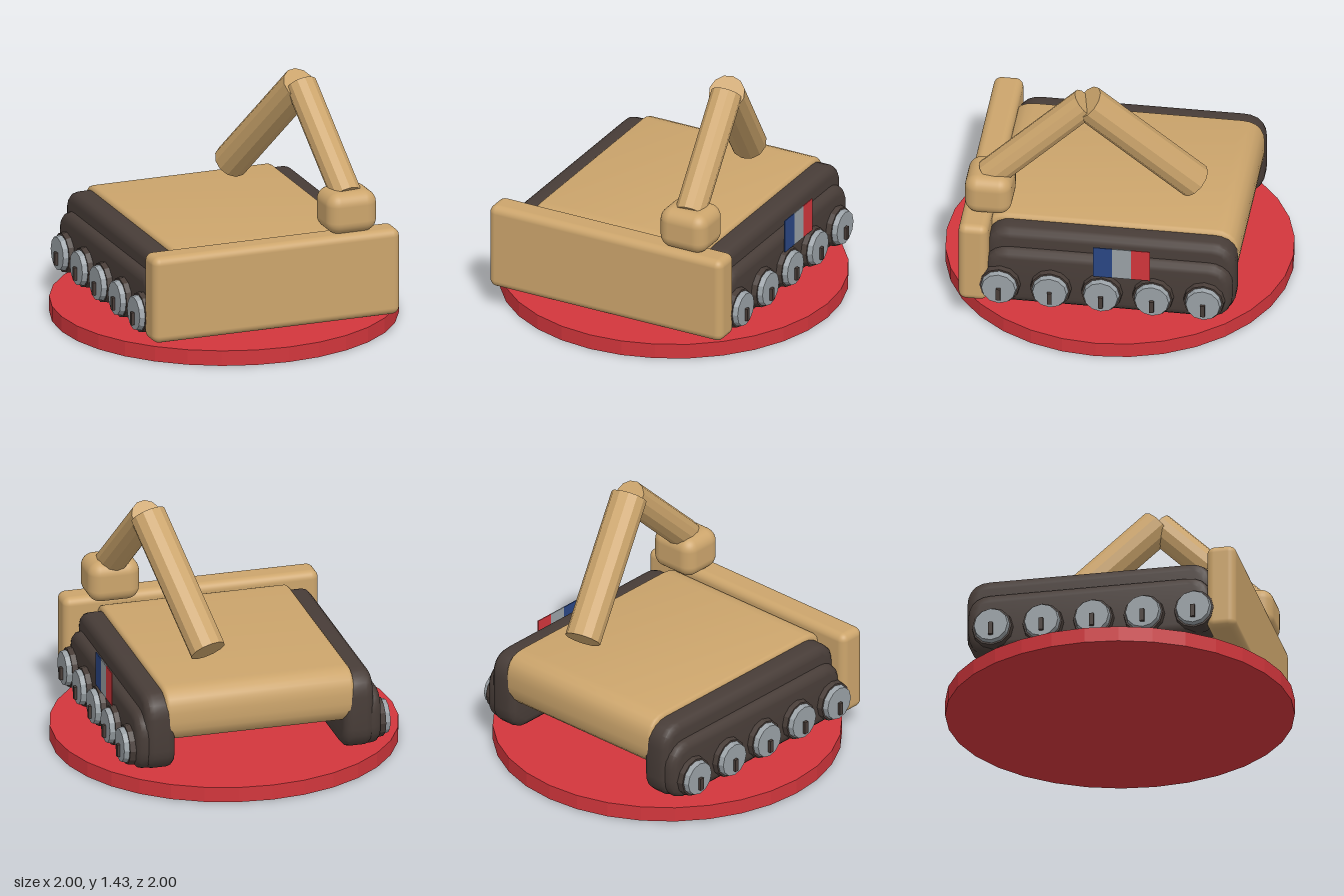
import * as THREE from 'three';
import { toCreasedNormals } from 'three/addons/utils/BufferGeometryUtils.js';
import { RoundedBoxGeometry } from 'three/addons/geometries/RoundedBoxGeometry.js';

const material = (name, color) => {
  const m = new THREE.MeshStandardMaterial({ color });
  m.name = name;
  return m;
};

export function createModel() {
  const model = new THREE.Group();
  model.name = 'trackedExcavator';

  const tan = material('tan', 0xcca56c);
  const red = material('red', 0xd2363c);
  const dark = material('darkBrown', 0x483d38);
  const grey = material('grey', 0x9aa1a6);
  const blue = material('blue', 0x2a4684);

  const add = (parent, name, geometry, mat, x = 0, y = 0, z = 0) => {
    const mesh = new THREE.Mesh(geometry, mat);
    mesh.name = name;
    mesh.position.set(x, y, z);
    parent.add(mesh);
    return mesh;
  };

  // Side profile with rounded corners, extruded across x with soft edges
  const slab = (x0, x1, y0, y1, z0, z1, radius, bevel) => {
    const [l, r, b, t] = [-z1 + bevel, -z0 - bevel, y0 + bevel, y1 - bevel];
    const k = radius;
    const s = new THREE.Shape();
    s.moveTo(l + k, b);
    s.lineTo(r - k, b);
    s.quadraticCurveTo(r, b, r, b + k);
    s.lineTo(r, t - k);
    s.quadraticCurveTo(r, t, r - k, t);
    s.lineTo(l + k, t);
    s.quadraticCurveTo(l, t, l, t - k);
    s.lineTo(l, b + k);
    s.quadraticCurveTo(l, b, l + k, b);
    const g = new THREE.ExtrudeGeometry(s, {
      depth: x1 - x0 - 2 * bevel, curveSegments: 5,
      bevelEnabled: true, bevelSize: bevel, bevelThickness: bevel, bevelSegments: 3,
    });
    g.rotateY(Math.PI / 2);
    g.translate(x0 + bevel, 0, 0);
    return toCreasedNormals(g, 0.6);
  };

  // Display base
  const baseGeometry = toCreasedNormals(new THREE.CylinderGeometry(1, 1, 0.09, 32), 0.1);
  add(model, 'base', baseGeometry, red, 0, 0.045, 0);

  // Hull and front blade
  add(model, 'hull', slab(-0.56, 0.56, 0.3, 0.625, -0.76, 0.7, 0.11, 0.025), tan);
  add(model, 'frontBlade', new RoundedBoxGeometry(1.52, 0.515, 0.17, 4, 0.045), tan, 0, 0.398, 0.745);

  // Track units with five wheels each
  const trackInner = slab(0.5, 0.68, 0.13, 0.6, -0.76, 0.68, 0.09, 0.05);
  const trackOuter = slab(0.54, 0.73, 0.13, 0.49, -0.745, 0.68, 0.09, 0.05);
  const disc = (r0, r1, width, sides) => {
    const g = new THREE.CylinderGeometry(r1, r0, width, sides);
    g.rotateZ(-Math.PI / 2);
    return toCreasedNormals(g, 0.3);
  };
  const tyre = disc(0.127, 0.115, 0.08, 12);
  const hub = disc(0.108, 0.098, 0.045, 12);
  const pin = new THREE.BoxGeometry(0.03, 0.075, 0.026);

  for (const side of [1, -1]) {
    const track = new THREE.Group();
    track.name = side > 0 ? 'leftTrack' : 'rightTrack';
    add(track, 'trackInner', trackInner, dark, side > 0 ? 0 : -1.18);
    add(track, 'trackOuter', trackOuter, dark, side > 0 ? 0 : -1.27);
    for (let i = -2; i <= 2; i++) {
      const wheel = new THREE.Group();
      wheel.name = 'wheel';
      wheel.position.set(0, 0.265, i * 0.295);
      add(wheel, 'tyre', tyre, dark, 0.722);
      add(wheel, 'hub', hub, grey, 0.77);
      add(wheel, 'pin', pin, dark, 0.795, -0.03);
      if (side < 0) wheel.rotation.y = Math.PI;
      track.add(wheel);
    }
    model.add(track);
  }

  // Three-stripe plate on the left side
  const stripe = new THREE.BoxGeometry(0.006, 0.2, 0.109);
  [blue, grey, red].forEach((mat, i) =>
    add(model, 'sideStripe', stripe, mat, 0.748, 0.48, -0.006 - i * 0.109));

  // Arm mount and the two arm tubes
  add(model, 'armMount', new RoundedBoxGeometry(0.305, 0.245, 0.27, 4, 0.075), tan, 0.482, 0.77, 0.68);
  const armTube = (name, from, to, radius) => {
    const a = new THREE.Vector3(...from), b = new THREE.Vector3(...to);
    const dir = b.clone().sub(a);
    const g = toCreasedNormals(new THREE.CylinderGeometry(radius, radius, dir.length(), 12), 0.1);
    const mesh = add(model, name, g, tan);
    mesh.position.copy(a).add(b).multiplyScalar(0.5);
    mesh.quaternion.setFromUnitVectors(new THREE.Vector3(0, 1, 0), dir.normalize());
  };
  armTube('lowerArm', [0.482, 0.847, 0.685], [0.42, 1.356, 0.14], 0.09);
  armTube('upperArm', [0.415, 1.357, 0.13], [0.23, 0.735, -0.465], 0.105);

  return model;
}
